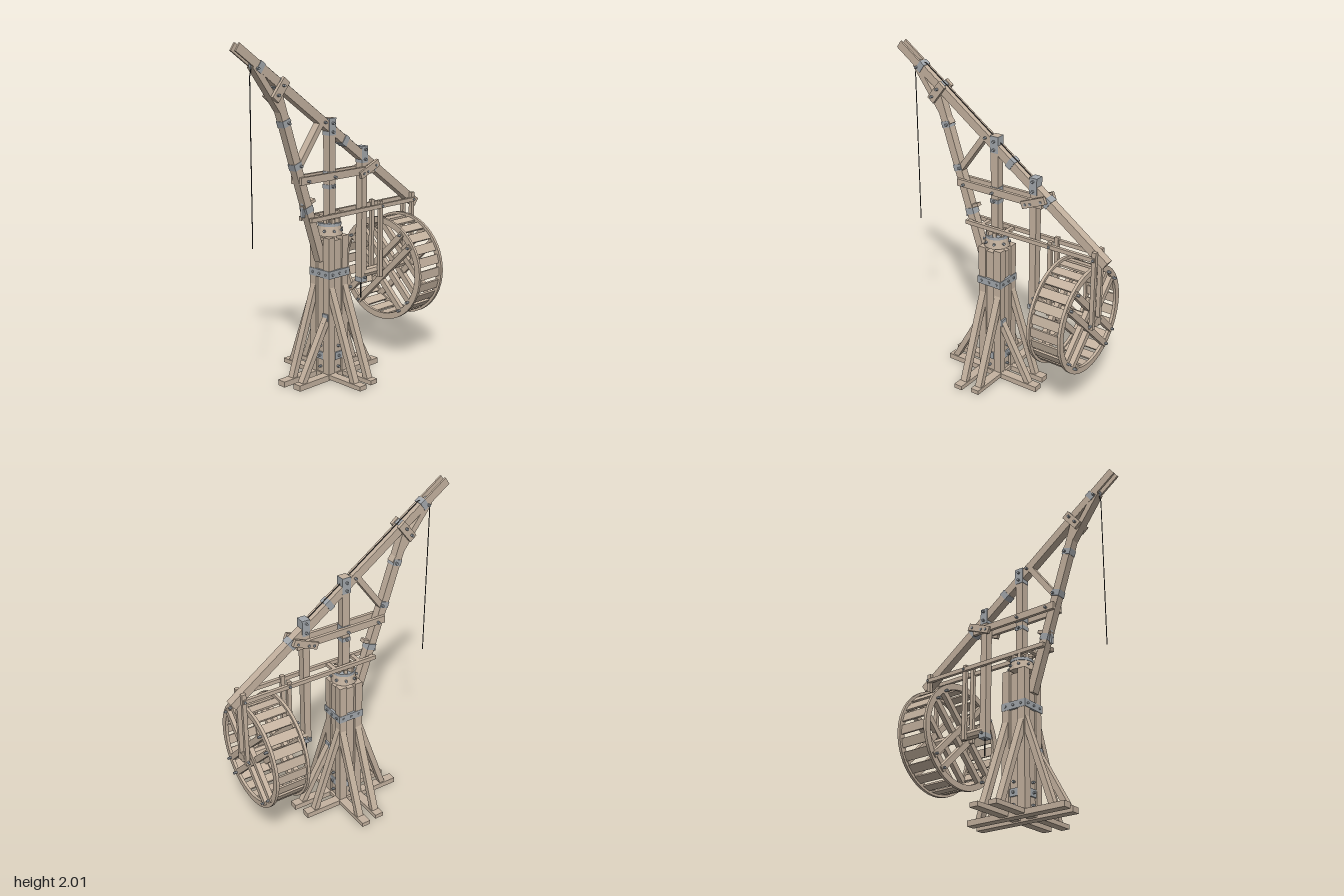
import * as THREE from 'three';

const V = (x, y, z) => new THREE.Vector3(x, y, z);
const wood = new THREE.MeshStandardMaterial({ color: 0xc4b29f, flatShading: true });
const iron = new THREE.MeshStandardMaterial({ color: 0xa3a8ad, flatShading: true });
const dark = new THREE.MeshStandardMaterial({ color: 0x3c3a38 });
const CX = 0.005, CZ = 0.03; // axis of the post

export function createModel() {
  const model = new THREE.Group();
  model.name = 'treadwheelCrane';

  function add(parent, name, geometry, material = wood) {
    const mesh = new THREE.Mesh(geometry, material);
    mesh.name = name;
    parent.add(mesh);
    return mesh;
  }
  function group(name, parent = model) {
    const g = new THREE.Group();
    g.name = name;
    parent.add(g);
    return g;
  }
  function box(parent, name, w, h, d, x, y, z, material) {
    const m = add(parent, name, new THREE.BoxGeometry(w, h, d), material);
    m.position.set(x, y, z);
    return m;
  }
  // Squared timber from a to b; width runs along side, depth across it
  function beam(parent, name, a, b, width, depth, side = V(1, 0, 0), material = wood) {
    const dir = b.clone().sub(a);
    const m = add(parent, name, new THREE.BoxGeometry(width, dir.length(), depth), material);
    dir.normalize();
    m.quaternion.setFromRotationMatrix(
      new THREE.Matrix4().makeBasis(side, dir, side.clone().cross(dir)));
    m.position.copy(a).add(b).multiplyScalar(0.5);
    return m;
  }
  function bolt(parent, p, axis = V(1, 0, 0), length = 0.02) {
    const m = add(parent, 'bolt', new THREE.CylinderGeometry(0.008, 0.008, length, 6), iron);
    m.quaternion.setFromUnitVectors(V(0, 1, 0), axis);
    m.position.copy(p);
  }
  function cord(parent, name, points, r = 0.003) {
    const path = new THREE.CurvePath();
    for (let i = 1; i < points.length; i++) path.add(new THREE.LineCurve3(points[i - 1], points[i]));
    add(parent, name, new THREE.TubeGeometry(path, points.length * 6, r, 6), dark);
  }

  // Crossed foot beams
  const base = group('base');
  box(base, 'footBeam', 0.66, 0.027, 0.055, -0.01, 0.0215, -0.028);
  box(base, 'footBeam', 0.66, 0.027, 0.055, 0.01, 0.0215, 0.083);
  box(base, 'footBeam', 0.055, 0.034, 0.66, -0.052, 0.017, 0.04);
  box(base, 'footBeam', 0.055, 0.034, 0.66, 0.057, 0.017, 0.017);

  // Raking struts on each arm of the base
  for (const s of [-1, 1]) {
    for (const z of [-0.028, 0.083])
      beam(base, 'rakingStrut', V(CX + s * 0.265, 0.03, z), V(CX + s * 0.055, 0.58, z), 0.042, 0.034, V(0, 0, 1));
    beam(base, 'rakingStrut', V(-0.052, 0.03, CZ + s * 0.25), V(-0.052, 0.58, CZ + s * 0.06), 0.04, 0.034);
    beam(base, 'rakingStrut', V(0.057, 0.03, CZ + s * 0.275), V(0.057, 0.41, CZ + s * 0.06), 0.04, 0.034);
    box(base, 'strutPlate', 0.045, 0.04, 0.012, 0.057, 0.39, CZ + s * 0.085, iron);
  }

  // Post: four corner timbers round a centre timber
  const post = group('post');
  for (const x of [-0.052, 0.057]) for (const z of [-0.025, 0.085])
    box(post, 'cornerPost', 0.05, 0.84, 0.05, x, 0.45, z);
  box(post, 'centrePost', 0.052, 0.83, 0.14, CX, 0.435, CZ);
  box(post, 'centrePost', 0.14, 0.83, 0.052, CX, 0.435, CZ);
  box(post, 'upperStrap', 0.168, 0.046, 0.168, CX, 0.65, CZ, iron);
  box(post, 'lowerStrap', 0.056, 0.045, 0.158, CX, 0.14, CZ, iron);
  box(post, 'lowerStrap', 0.158, 0.045, 0.056, CX, 0.14, CZ, iron);
  for (const s of [-1, 1]) {
    for (const y of [0.65, 0.14]) for (const t of y > 0.5 ? [-0.055, 0, 0.055] : [0]) {
      bolt(post, V(CX + s * 0.08, y, CZ + t));
      bolt(post, V(CX + t, y, CZ + s * 0.08), V(0, 0, 1));
    }
    for (const y of [0.07, 0.2]) {
      bolt(post, V(CX + s * 0.076, y, CZ), V(1, 0, 0));
      bolt(post, V(CX, y, CZ + s * 0.076), V(0, 0, 1));
    }
  }

  // Turning cap with a crown of blocks
  const cap = group('turningCap');
  const capBody = add(cap, 'capBody', new THREE.CylinderGeometry(0.066, 0.078, 0.06, 16));
  capBody.position.set(CX, 0.905, CZ);
  const capRing = add(cap, 'capRing', new THREE.CylinderGeometry(0.07, 0.07, 0.018, 16), iron);
  capRing.position.set(CX, 0.94, CZ);
  for (let i = 0; i < 8; i++) {
    const a = (i + 0.5) * Math.PI / 4;
    const b = box(cap, 'capBlock', 0.02, 0.035, 0.03, CX + 0.05 * Math.sin(a), 0.957, CZ + 0.05 * Math.cos(a));
    b.rotation.y = a;
    bolt(cap, V(CX + 0.074 * Math.sin(a), 0.905, CZ + 0.074 * Math.cos(a)), V(Math.sin(a), 0, Math.cos(a)));
  }

  // Jib and its frame
  const jib = group('jib');
  const onJib = (z, up = 0, x = CX) => V(x, 1.475 + 0.715 * z + up, z);
  beam(jib, 'jibBeam', onJib(-0.72), onJib(0.58), 0.05, 0.052);
  for (const s of [-1, 1])
    beam(jib, 'jibTipPlate', onJib(0.4, 0, CX + s * 0.02), onJib(0.715, 0, CX + s * 0.02), 0.012, 0.05);
  box(jib, 'kingPost', 0.05, 0.66, 0.05, CX, 1.23, CZ);
  box(jib, 'hangingPost', 0.05, 0.83, 0.044, CX, 0.945, -0.24);
  beam(jib, 'longBrace', V(CX, 0.73, 0.105), V(CX, 1.74, 0.44), 0.05, 0.05);
  beam(jib, 'tipBrace', V(CX, 1.885, 0.6), V(CX, 1.56, 0.36), 0.05, 0.036);
  beam(jib, 'shortBrace', V(CX, 1.3, 0.285), V(CX, 1.57, 0.085), 0.05, 0.034);
  for (const s of [-1, 1]) {
    const x = CX + s * 0.034;
    box(jib, 'collarBeam', 0.02, 0.044, 0.6, x, 1.225, -0.01);
    beam(jib, 'clampBlock', V(x, 1.8, 0.39), V(x, 1.695, 0.475), 0.022, 0.052);
    beam(jib, 'cheekBlock', V(x + s * 0.012, 1.2, -0.18), V(x + s * 0.012, 1.265, -0.335), 0.02, 0.044);
    box(jib, 'lowerRail', 0.02, 0.025, 0.89, CX + s * 0.045, 0.99, -0.223);
    box(jib, 'wheelHanger', 0.022, 0.48, 0.026, CX + s * 0.036, 0.78, -0.37);
    box(jib, 'wheelHanger', 0.022, 0.49, 0.026, CX + s * 0.036, 0.79, -0.66);
    for (const [y, z] of [[1.22, 0.24], [1.22, 0.03], [1.22, -0.24], [1.21, -0.205], [1.25, -0.31],
      [1.77, 0.42], [1.72, 0.46], [0.99, -0.37], [0.99, -0.66], [0.57, -0.66]])
      bolt(jib, V(CX + s * 0.052, y, z));
    for (const [y, z] of [[1.31, 0.28], [1.56, 0.37], [1.54, 0.09], [1.87, 0.585], [1.53, 0.03],
      [1.48, 0.03], [1.35, -0.24], [1.29, -0.24], [1.16, 0.03], [0.56, -0.24]])
      bolt(jib, V(CX + s * 0.032, y, z));
  }
  // Cross pieces tying the rails
  for (const z of [0.2, -0.06, 0.11]) box(jib, 'railTie', 0.11, 0.02, 0.025, CX, 0.99, z);

  // Iron straps on the timbers
  for (const [y, h] of [[1.51, 0.1], [1.225, 0.05], [1.16, 0.025]])
    box(jib, 'kingPostStrap', 0.056, h, 0.056, CX, y, CZ, iron);
  box(jib, 'hangingPostStrap', 0.056, 0.1, 0.05, CX, 1.32, -0.24, iron);
  box(jib, 'hangingPostShoe', 0.056, 0.03, 0.05, CX, 0.545, -0.24, iron);
  const pin = add(jib, 'shoePin', new THREE.CylinderGeometry(0.004, 0.004, 0.11, 6), dark);
  pin.position.set(CX, 0.48, -0.24);
  for (const z of [0.56, 0.42, -0.08, -0.33])
    beam(jib, 'jibStrap', onJib(z - 0.015), onJib(z + 0.015), 0.058, 0.06, V(1, 0, 0), iron);
  for (const y of [1.56, 1.31, 1.05]) {
    const z = 0.105 + (y - 0.73) * 0.3317;
    beam(jib, 'braceStrap', V(CX, y - 0.018, z - 0.006), V(CX, y + 0.018, z + 0.006), 0.056, 0.056, V(1, 0, 0), iron);
  }

  // Rope, head pulley and small guide bracket
  const tackle = group('tackle');
  const pulley = add(tackle, 'headPulley', new THREE.CylinderGeometry(0.025, 0.025, 0.016, 16), iron);
  pulley.rotation.z = Math.PI / 2;
  pulley.position.set(CX, 1.885, 0.593);
  cord(tackle, 'hoistRope', [V(CX, 0.89, 0.617), V(CX, 1.885, 0.617), onJib(0.575, 0.042), onJib(-0.23, 0.042)]);
  beam(tackle, 'guideBracket', V(CX, 1.065, 0.25), V(CX, 1.1, 0.16), 0.035, 0.02);
  box(tackle, 'guidePost', 0.02, 0.1, 0.014, CX, 1.055, 0.243, iron);
  cord(tackle, 'looseRope', [V(0.06, 0.36, 0.135), V(0.06, 0.19, 0.185)], 0.004);

  // Treadwheel, built about its own axle
  const wheel = group('treadwheel');
  wheel.position.set(CX, 0.58, -0.52);
  const axle = add(wheel, 'axle', new THREE.CylinderGeometry(0.03, 0.03, 0.43, 8));
  axle.rotation.x = Math.PI / 2;
  axle.position.z = 0.06;
  const ring = new THREE.Shape().absarc(0, 0, 0.326, 0, Math.PI * 2);
  ring.holes.push(new THREE.Path().absarc(0, 0, 0.288, 0, Math.PI * 2, true));
  const rimGeometry = new THREE.ExtrudeGeometry(ring, { depth: 0.018, bevelEnabled: false, curveSegments: 24 });
  for (const s of [-1, 1]) {
    add(wheel, 'rim', rimGeometry).position.z = s * 0.102 - 0.009;
    // Paired arms clasping the axle
    for (const turn of [1, -1]) for (const off of [-0.048, 0.048]) {
      const arm = group('clasp', wheel);
      arm.rotation.z = turn * Math.PI / 4;
      const z = s * (turn > 0 ? 0.104 : 0.096);
      box(arm, 'claspArm', 0.61, 0.036, 0.03, 0, off, z);
      for (const e of [-1, 1]) bolt(arm, V(e * 0.29, off, s * 0.122), V(0, 0, 1), 0.024);
    }
  }
  const planks = 24;
  for (let i = 0; i < planks; i++) {
    const a = i * Math.PI * 2 / planks;
    const p = box(wheel, 'treadPlank', 0.056, 0.012, 0.196, 0.304 * Math.sin(a), 0.304 * Math.cos(a), 0);
    p.rotation.z = -a;
  }
  return model;
}
